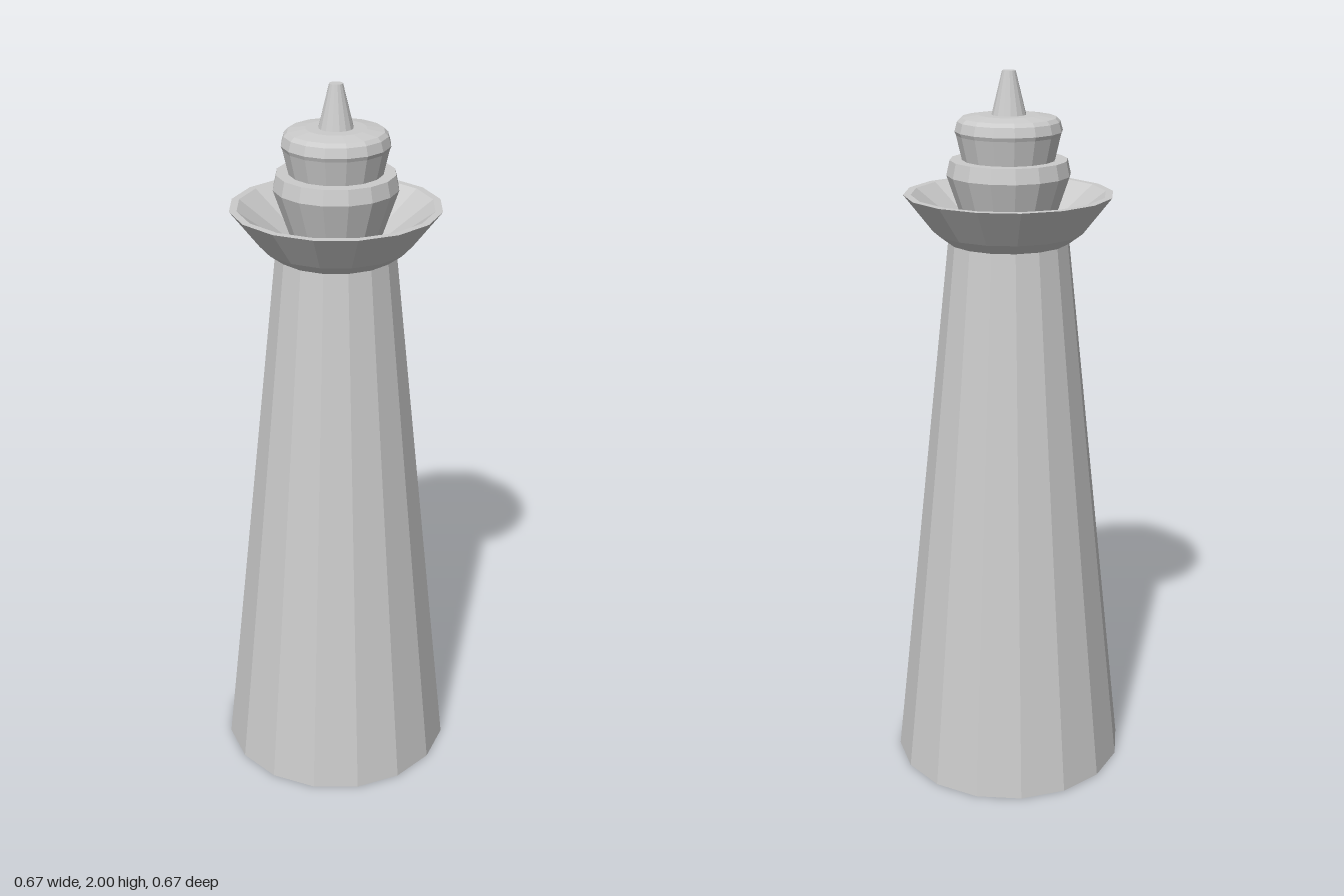
import * as THREE from 'three';

const SIDES = 16;

// Faceted part turned from a [radius, height] profile
function turned(name, profile) {
  const points = profile.map(([r, y]) => new THREE.Vector2(r, y));
  const material = new THREE.MeshStandardMaterial({
    color: 0xcccccc,
    flatShading: true,
    side: THREE.DoubleSide,
  });
  const mesh = new THREE.Mesh(new THREE.LatheGeometry(points, SIDES), material);
  mesh.name = name;
  return mesh;
}

export function createModel() {
  const group = new THREE.Group();
  group.name = 'lighthouse';
  group.add(
    // Tapered shaft, open at the bottom
    turned('tower', [[0.333, 0], [0.165, 1.55]]),
    // Flared bowl with a narrow flat rim
    turned('gallery', [
      [0.165, 1.55], [0.205, 1.58], [0.283, 1.68], [0.263, 1.68], [0.11, 1.565],
    ]),
    // Lantern base widening upwards to a bevelled ledge
    turned('lanternBase', [
      [0.11, 1.565], [0.167, 1.73], [0.158, 1.77], [0.125, 1.77],
    ]),
    // Lantern room under the roof edge
    turned('lanternRoom', [[0.125, 1.77], [0.14, 1.835]]),
    // Low stepped roof
    turned('roof', [
      [0.14, 1.835], [0.144, 1.845], [0.137, 1.87], [0.127, 1.88], [0.08, 1.887], [0.046, 1.887],
    ]),
    // Tapered spike with a flat tip
    turned('finial', [[0.046, 1.887], [0.018, 2], [0, 2]]),
  );
  return group;
}
